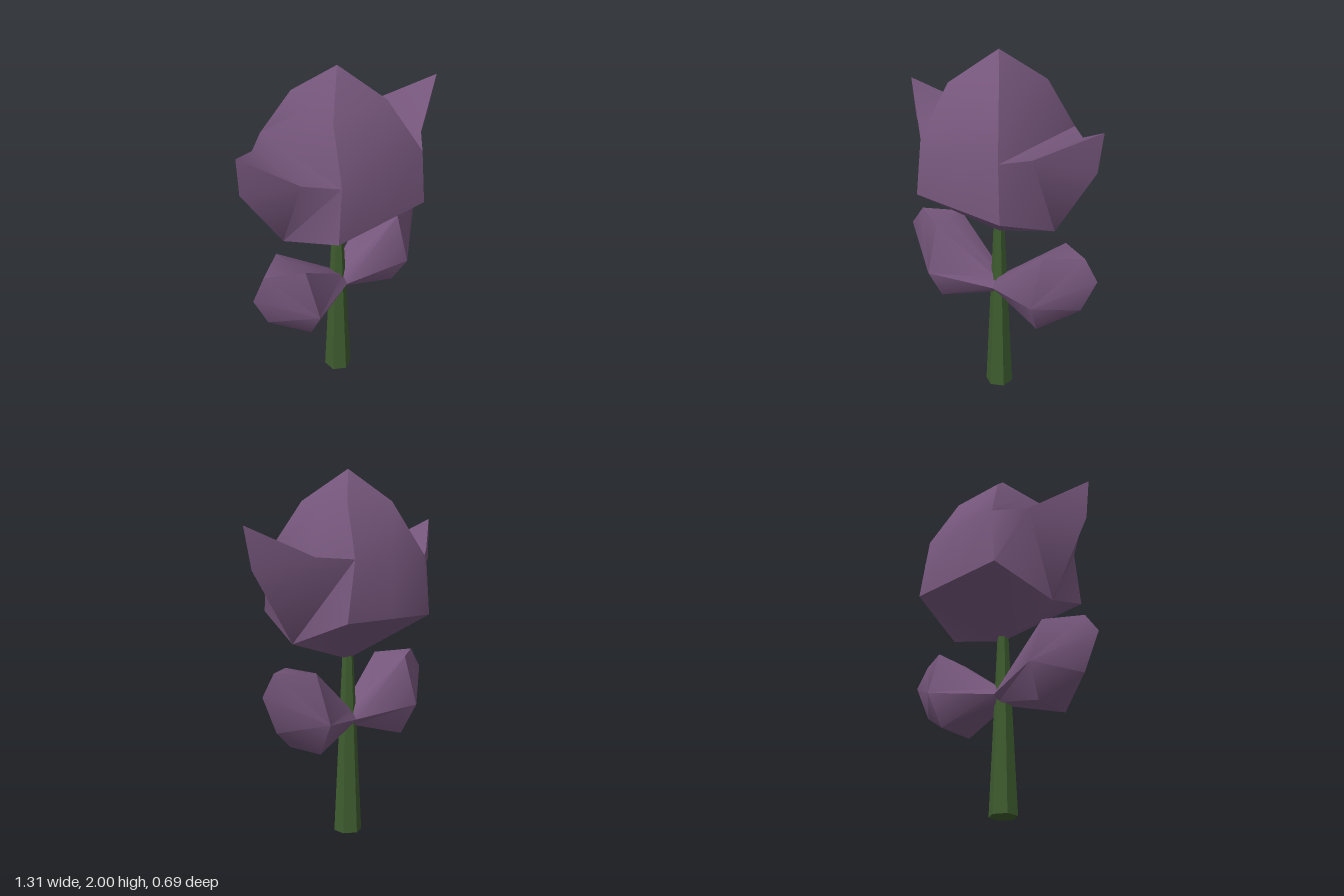
import * as THREE from 'three';
import { toCreasedNormals } from 'three/addons/utils/BufferGeometryUtils.js';

const AXIS = -0.025; // the stem stands slightly off centre
const CREASE = 0.8;

// Fan-triangulates polygons; mirrored polygons are reversed to keep facing out.
function addFaces(out, faces, flip) {
  for (const face of faces) {
    const f = flip ? [...face].reverse() : face;
    for (let i = 1; i < f.length - 1; i++) out.push(...f[0], ...f[i], ...f[i + 1]);
  }
}

function facetedMesh(name, positions, material) {
  const geometry = new THREE.BufferGeometry();
  geometry.setAttribute('position', new THREE.Float32BufferAttribute(positions, 3));
  const mesh = new THREE.Mesh(toCreasedNormals(geometry, CREASE), material);
  mesh.name = name;
  return mesh;
}

// One quarter of the flower head: x values of one side, sz = front or back.
// rim and dome hold their front and back x values.
function bloomQuarter(side, sz) {
  const p = (x, y, z) => [x, y, z * sz];
  const corner = ([front, back]) => (sz > 0 ? front : back);
  const middle = ([front, back]) => (front + back) / 2;
  const bottom = p(AXIS, 0.975, 0), top = p(AXIS, 2, 0);
  const base = p(side.base, 1.095, 0), outer = p(side.outer, 1.495, 0), tip = [side.tip, 1.72, 0.012];
  const low = p(side.low, 1.23, 0.347), lowMid = p(AXIS, 1.23, 0.347);
  const rim = p(corner(side.rim), 1.55, 0.335), rimMid = p(AXIS, 1.55, 0.335);
  const rimSide = p(middle(side.rim), 1.55, 0);
  const dome = p(corner(side.dome), 1.83, 0.19), domeMid = p(AXIS, 1.83, 0.19);
  const domeSide = p(middle(side.dome), 1.83, 0);
  const shoulder = p(side.shoulder, 1.56, 0.205), shoulderMid = p(side.shoulder, 1.56, 0);
  return [
    [bottom, base, low], [bottom, low, lowMid],                              // underside
    [lowMid, low, rim, rimMid], [rimMid, rim, dome, domeMid], [domeMid, dome, top], // upright petal
    [rim, rimSide, domeSide, dome], [dome, domeSide, top],                   // side of the bud
    [low, base, shoulder, rim],                                              // root of spread petal
    [base, outer, shoulder], [outer, tip, shoulder],                         // spread petal
    [rim, shoulder, shoulderMid, rimSide], [shoulder, tip, shoulderMid],     // top of spread petal
  ];
}

function makeBloom(material) {
  const right = { base: 0.36, outer: 0.615, tip: 0.655, low: 0.28, rim: [0.26, 0.22], dome: [0.14, 0.145], shoulder: 0.37 };
  const left = { base: -0.39, outer: -0.64, tip: -0.655, low: -0.3, rim: [-0.27, -0.27], dome: [-0.205, -0.17], shoulder: -0.415 };
  const positions = [];
  for (const [side, sx] of [[right, 1], [left, -1]]) {
    for (const sz of [1, -1]) addFaces(positions, bloomQuarter(side, sz), sx * sz < 0);
  }
  return facetedMesh('bloom', positions, material);
}

// A leaf pod with a six-sided section that ends in a vertical ridge.
function makeLeaf(name, material) {
  const positions = [];
  for (const s of [1, -1]) {
    const p = (x, y, z) => [x, y, z * s];
    const a = p(0, 0.695, 0.03), aMid = p(0, 0.695, 0);
    const b = p(0, 0.645, 0.07);
    const c = p(0, 0.61, 0.035), cMid = p(0, 0.61, 0);
    const A = p(0.355, 0.958, 0.115), AMid = p(0.355, 0.958, 0);
    const M = p(0.345, 0.695, 0.21);
    const C = p(0.325, 0.519, 0.115), CMid = p(0.325, 0.519, 0);
    const r1 = p(0.545, 0.968, 0), r2 = p(0.625, 0.855, 0), r3 = p(0.53, 0.65, 0);
    addFaces(positions, [
      [b, M, A, a], [c, C, M, b],                             // flanks
      [M, C, r3], [M, r3, r2], [M, r2, r1], [M, r1, A],       // outer end
      [a, A, AMid, aMid], [A, r1, AMid],                      // top
      [c, cMid, CMid, C], [C, CMid, r3],                      // bottom
    ], s < 0);
  }
  return facetedMesh(name, positions, material);
}

export function createModel() {
  const purple = new THREE.MeshStandardMaterial({ color: 0x75567b });
  purple.name = 'petal purple';
  const green = new THREE.MeshStandardMaterial({ color: 0x3e5c2f });
  green.name = 'stem green';

  const model = new THREE.Group();
  model.name = 'flower';

  // Tapered six-sided stem
  const stemGeometry = new THREE.CylinderGeometry(0.03, 0.077, 1.02, 6);
  stemGeometry.translate(0, 0.51, 0);
  const stem = new THREE.Mesh(toCreasedNormals(stemGeometry, CREASE), green);
  stem.name = 'stem';
  stem.position.x = AXIS;
  model.add(stem);

  // Two opposite leaves, turned slightly about the stem
  ['leftLeaf', 'rightLeaf'].forEach((name, i) => {
    const leaf = makeLeaf(name, purple);
    leaf.position.x = AXIS + 0.006;
    leaf.rotation.y = 0.096 + i * Math.PI;
    model.add(leaf);
  });

  model.add(makeBloom(purple));
  return model;
}
